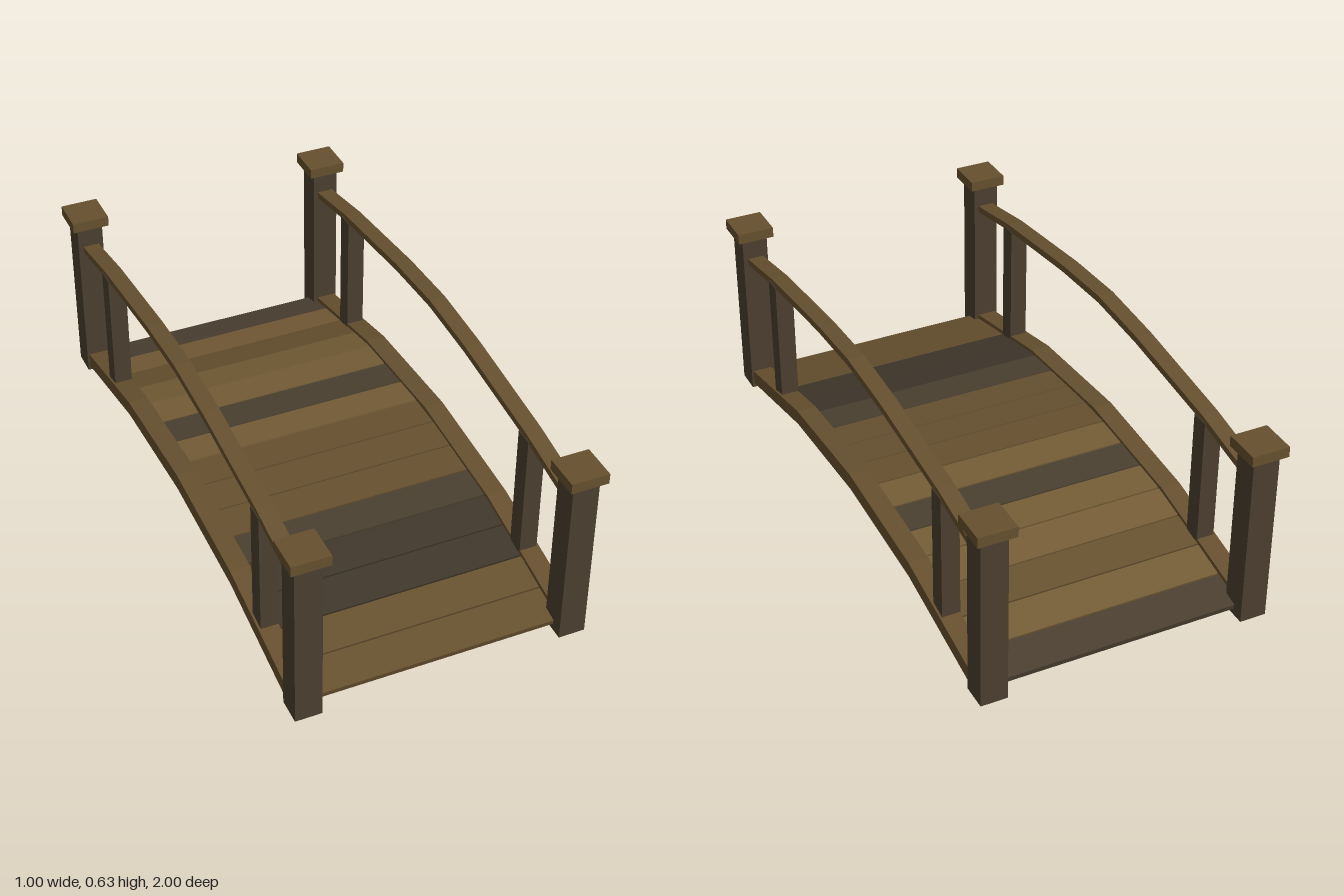
import * as THREE from 'three';

const mat = (color) => new THREE.MeshStandardMaterial({ color, flatShading: true });
const wood = mat(0x66502f), postWood = mat(0x4b3e2f);
const plankWood = { L: mat(0x745c36), M: mat(0x66502f), D: mat(0x4a3f30), K: mat(0x40372b) };

function box(parent, name, material, size, pos) {
  const mesh = new THREE.Mesh(new THREE.BoxGeometry(...size), material);
  mesh.name = name;
  mesh.position.set(...pos);
  parent.add(mesh);
  return mesh;
}

// Bent bar symmetric about z = 0; profile rows are [z, bottom, top] from the middle outwards
function bentBar(parent, name, profile, width, x) {
  const outer = [...profile].reverse();
  const inner = profile.slice(1);
  const rows = [...outer.map(([z, b, t]) => [-z, b, t]), ...inner];
  const points = [
    ...rows.map(([z, b]) => new THREE.Vector2(z, b)),
    ...[...rows].reverse().map(([z, , t]) => new THREE.Vector2(z, t)),
  ];
  const geo = new THREE.ExtrudeGeometry(new THREE.Shape(points), { depth: width, bevelEnabled: false });
  geo.translate(0, 0, -width / 2);
  geo.rotateY(-Math.PI / 2);
  const mesh = new THREE.Mesh(geo, wood);
  mesh.name = name;
  mesh.position.x = x;
  parent.add(mesh);
}

const beamProfile = [[0, 0.135, 0.19], [0.46, 0.105, 0.157], [0.92, 0.01, 0.06]];
const railProfile = [
  [0, 0.601, 0.626], [0.25, 0.587, 0.611], [0.66, 0.54, 0.563], [0.85, 0.504, 0.527], [0.92, 0.493, 0.517],
];

// Height of the walking surface along the bridge
const deckPoints = [[0, 0.178], [0.19, 0.166], [0.46, 0.146], [0.94, 0.039]];
function deckHeight(z) {
  const a = Math.abs(z);
  let i = 1;
  while (i < deckPoints.length - 1 && a > deckPoints[i][0]) i++;
  const [z0, y0] = deckPoints[i - 1], [z1, y1] = deckPoints[i];
  return y0 + ((a - z0) / (z1 - z0)) * (y1 - y0);
}

export function createModel() {
  const bridge = new THREE.Group();
  bridge.name = 'footbridge';

  // Deck planks, back to front, each tilted to follow the arch
  const deck = new THREE.Group();
  deck.name = 'deck';
  bridge.add(deck);
  const tones = 'DLMLLDLMMMDKKMM';
  const pitch = 1.884 / tones.length, thick = 0.019;
  [...tones].forEach((tone, i) => {
    const z0 = -0.942 + i * pitch, z1 = z0 + pitch;
    const y0 = deckHeight(z0), y1 = deckHeight(z1);
    const length = Math.hypot(z1 - z0, y1 - y0) - 0.005;
    const plank = box(deck, 'plank', plankWood[tone], [0.83, thick, length],
      [0, (y0 + y1) / 2 - thick / 2, (z0 + z1) / 2]);
    plank.rotation.x = -Math.atan2(y1 - y0, z1 - z0);
  });

  for (const side of [1, -1]) {
    const railing = new THREE.Group();
    railing.name = side > 0 ? 'leftRailing' : 'rightRailing';
    bridge.add(railing);
    bentBar(railing, 'sideBeam', beamProfile, 0.066, side * 0.443);
    bentBar(railing, 'handrail', railProfile, 0.055, side * 0.4385);
    for (const end of [1, -1]) {
      box(railing, 'post', postWood, [0.088, 0.597, 0.088], [side * 0.439, 0.2985, end * 0.936]);
      box(railing, 'postCap', wood, [0.125, 0.035, 0.125], [side * 0.4385, 0.6125, end * 0.9375]);
      box(railing, 'baluster', postWood, [0.06, 0.445, 0.062], [side * 0.4385, 0.3225, end * 0.655]);
    }
  }
  return bridge;
}
